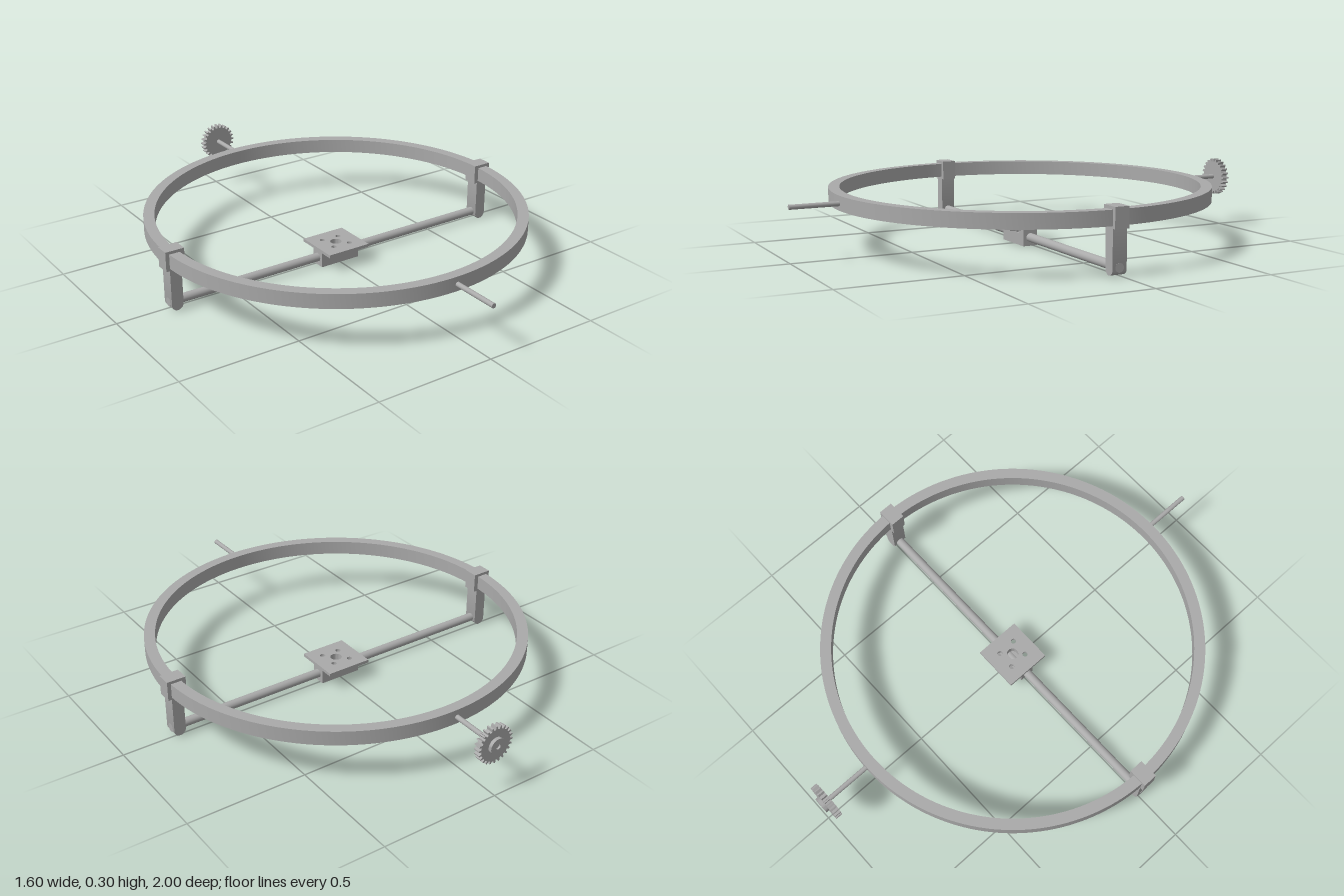
import * as THREE from 'three';
import { toCreasedNormals } from 'three/addons/utils/BufferGeometryUtils.js';

const CZ = 0.015;      // z of the ring centre
const RING_Y = 0.22;
const BAR_Y = 0.035;

export function createModel() {
  const model = new THREE.Group();
  const metal = new THREE.MeshStandardMaterial({ color: 0xaaaaaa });
  metal.name = 'grey metal';

  const add = (name, geometry, x = 0, y = 0, z = 0) => {
    const mesh = new THREE.Mesh(geometry, metal);
    mesh.name = name;
    mesh.position.set(x, y, z);
    model.add(mesh);
    return mesh;
  };
  const hole = (shape, x, y, r) =>
    shape.holes.push(new THREE.Path().absarc(x, y, r, 0, Math.PI * 2, true));
  const extrude = (shape, depth, curveSegments = 24) => toCreasedNormals(
    new THREE.ExtrudeGeometry(shape, { depth, curveSegments, bevelEnabled: false }), 0.5);
  // Extrudes upward: shape y becomes -z
  const slab = (shape, depth, segments) => extrude(shape, depth, segments).rotateX(-Math.PI / 2);
  const rodZ = (name, z0, z1) => add(name,
    new THREE.CylinderGeometry(0.01, 0.01, z1 - z0, 20).rotateX(Math.PI / 2),
    0, RING_Y - 0.002, (z0 + z1) / 2);

  // Large ring
  const ring = new THREE.Shape().absarc(0, 0, 0.785, 0, Math.PI * 2);
  hole(ring, 0, 0, 0.74);
  add('ring', slab(ring, 0.06, 96), 0, 0.19, CZ);

  // Axle stubs at front and back
  rodZ('frontAxle', CZ + 0.76, 1);
  rodZ('backAxle', -0.992, CZ - 0.76);

  // Toothed wheel on the back axle
  const teeth = 24, gear = new THREE.Shape();
  for (let i = 0; i < teeth; i++) {
    [[-0.5, 0.067], [-0.28, 0.067], [-0.14, 0.079], [0.14, 0.079], [0.28, 0.067]].forEach(([t, r], j) => {
      const a = ((i + t) / teeth) * Math.PI * 2;
      const x = Math.cos(a) * r, y = Math.sin(a) * r;
      if (i + j === 0) gear.moveTo(x, y); else gear.lineTo(x, y);
    });
  }
  gear.closePath();
  add('gear', extrude(gear, 0.028), 0, RING_Y - 0.002, -0.986);
  const hub = new THREE.Shape().absarc(0, 0, 0.034, 0, Math.PI * 2);
  hole(hub, 0, 0, 0.0105);
  add('gearHub', extrude(hub, 0.016), 0, RING_Y - 0.002, -1);

  // Clamps on the ring, each with a round-ended hanging arm
  for (const [side, s] of [['left', 1], ['right', -1]]) {
    add(side + 'Clamp', new THREE.BoxGeometry(0.08, 0.082, 0.06), s * 0.76, 0.221, CZ);
    const arm = new THREE.Shape();
    arm.moveTo(0.025, 0.185);
    arm.lineTo(-0.025, 0.185);
    arm.lineTo(-0.025, 0.03);
    arm.absarc(0, 0.03, 0.025, Math.PI, Math.PI * 2);
    arm.closePath();
    add(side + 'Arm', extrude(arm, 0.06), s * 0.76, 0, CZ - 0.03);
  }

  // Cross bar between the arms
  add('crossBar', new THREE.CylinderGeometry(0.018, 0.018, 1.571, 32).rotateZ(Math.PI / 2), 0, BAR_Y, CZ);

  // Block on the bar; its upper layer is notched where the plate holes cut its edges
  const w = 0.091, d = 0.032, n = 0.024;
  add('blockBase', new THREE.BoxGeometry(w * 2, 0.05, d * 2), 0, 0.025, CZ);
  const block = new THREE.Shape();
  const half = [[-w, -d], [-0.048, -d], [-0.048, -n], [-0.028, -n], [-0.028, -d],
    [0.03, -d], [0.03, -n], [0.05, -n], [0.05, -d], [w, -d]];
  block.setFromPoints([...half, ...half.map(([x, y]) => [-x, -y])].map(([x, y]) => new THREE.Vector2(x, y)));
  hole(block, 0, 0, 0.024);
  add('blockTop', slab(block, 0.02), 0, 0.05, CZ);

  // Square mounting plate with a centre hole and four screw holes
  const p = 0.097, plate = new THREE.Shape();
  plate.setFromPoints([[-p, -p], [p, -p], [p, p], [-p, p]].map(([x, y]) => new THREE.Vector2(x, y)));
  hole(plate, 0, 0, 0.024);
  for (const s of [1, -1]) {
    hole(plate, s * 0.04, s * -0.041, 0.011);
    hole(plate, s * 0.036, s * 0.038, 0.011);
  }
  add('mountingPlate', slab(plate, 0.013), 0, 0.069, CZ);

  return model;
}
